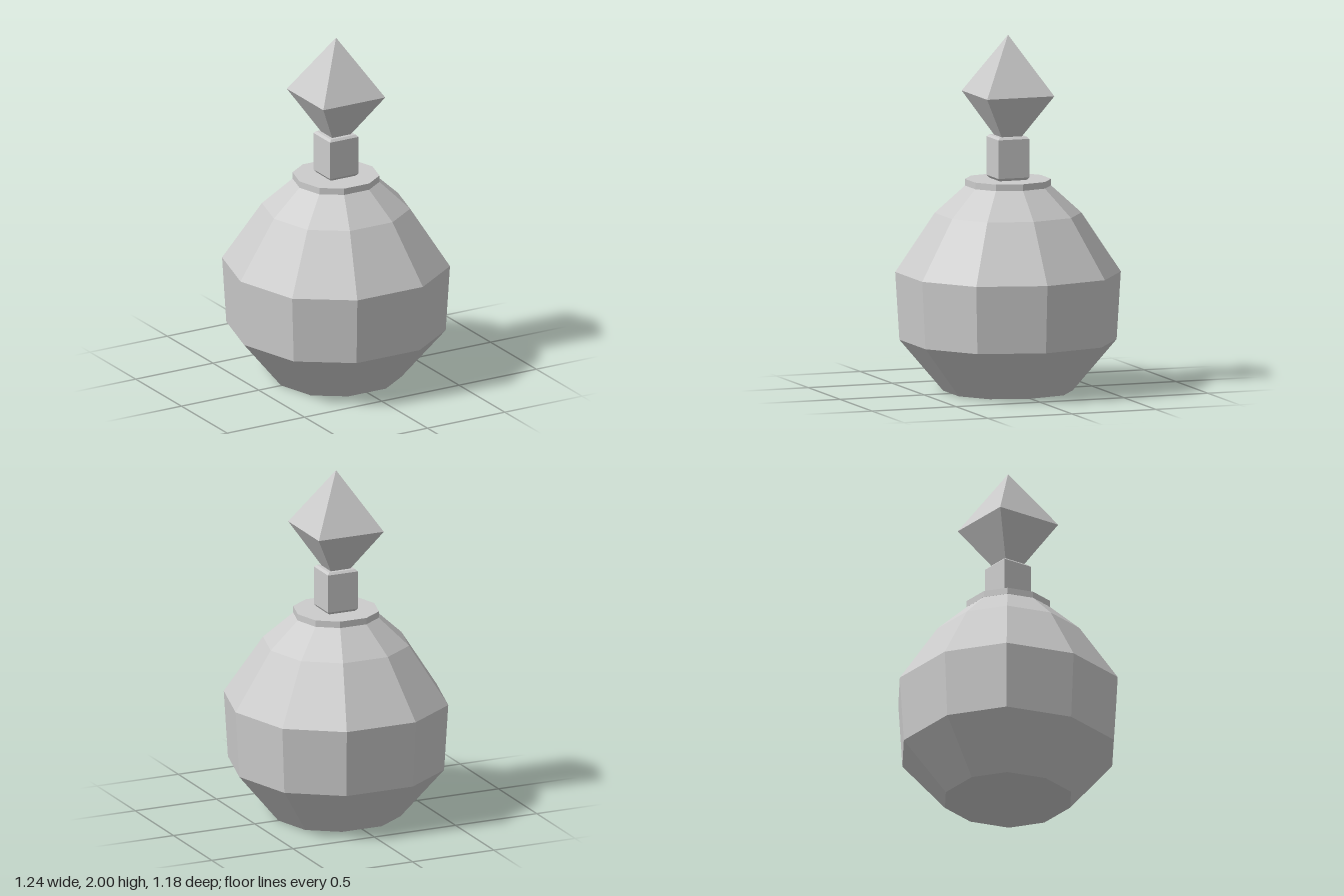
import * as THREE from 'three';

const material = new THREE.MeshStandardMaterial({ color: 0xcccccc, flatShading: true });

// Ten-sided outline (unit half-width in x), mirrored from one quadrant
const quadrant = [[1, 0], [0.826, 0.62], [0.343, 0.957]];
const decagon = [
  ...quadrant,
  ...quadrant.slice(1).reverse().map(([x, z]) => [-x, z]),
  [-1, 0],
  ...quadrant.slice(1).map(([x, z]) => [-x, -z]),
  ...quadrant.slice(1).reverse().map(([x, z]) => [x, -z]),
];
const square = [[1, 1], [-1, 1], [-1, -1], [1, -1]];

// Closed faceted solid: the outline scaled at each [y, scale] section, bottom to top
function loft(name, outline, sections) {
  const n = outline.length;
  const positions = [];
  const point = (s, i) => {
    const [y, k] = sections[s];
    const [x, z] = outline[i % n];
    return [x * k, y, z * k];
  };
  const last = sections.length - 1;
  for (let i = 0; i < n; i++) {
    for (let s = 0; s < last; s++) {
      const a = point(s, i), b = point(s, i + 1);
      const c = point(s + 1, i + 1), d = point(s + 1, i);
      if (sections[s + 1][1] > 0) positions.push(...a, ...d, ...c);
      positions.push(...a, ...c, ...b);
    }
    // end caps
    positions.push(0, sections[0][0], 0, ...point(0, i), ...point(0, i + 1));
    if (sections[last][1] > 0) {
      positions.push(0, sections[last][0], 0, ...point(last, i + 1), ...point(last, i));
    }
  }
  const geometry = new THREE.BufferGeometry();
  geometry.setAttribute('position', new THREE.Float32BufferAttribute(positions, 3));
  geometry.computeVertexNormals();
  const mesh = new THREE.Mesh(geometry, material);
  mesh.name = name;
  return mesh;
}

export function createModel() {
  const model = new THREE.Group();
  model.name = 'bottle';
  model.add(
    // Faceted round flask
    loft('body', decagon, [[0, 0.355], [0.287, 0.595], [0.668, 0.618], [1.0, 0.402], [1.158, 0.23]]),
    // Flat ring around the mouth
    loft('collar', decagon, [[1.153, 0.236], [1.19, 0.236]]),
    // Square neck with bevelled ends
    loft('neck', square, [[1.188, 0.078], [1.205, 0.092], [1.422, 0.092], [1.434, 0.08]]),
    // Diamond stopper
    loft('stopper', square, [[1.425, 0.055], [1.67, 0.2], [2, 0]]),
  );
  return model;
}
